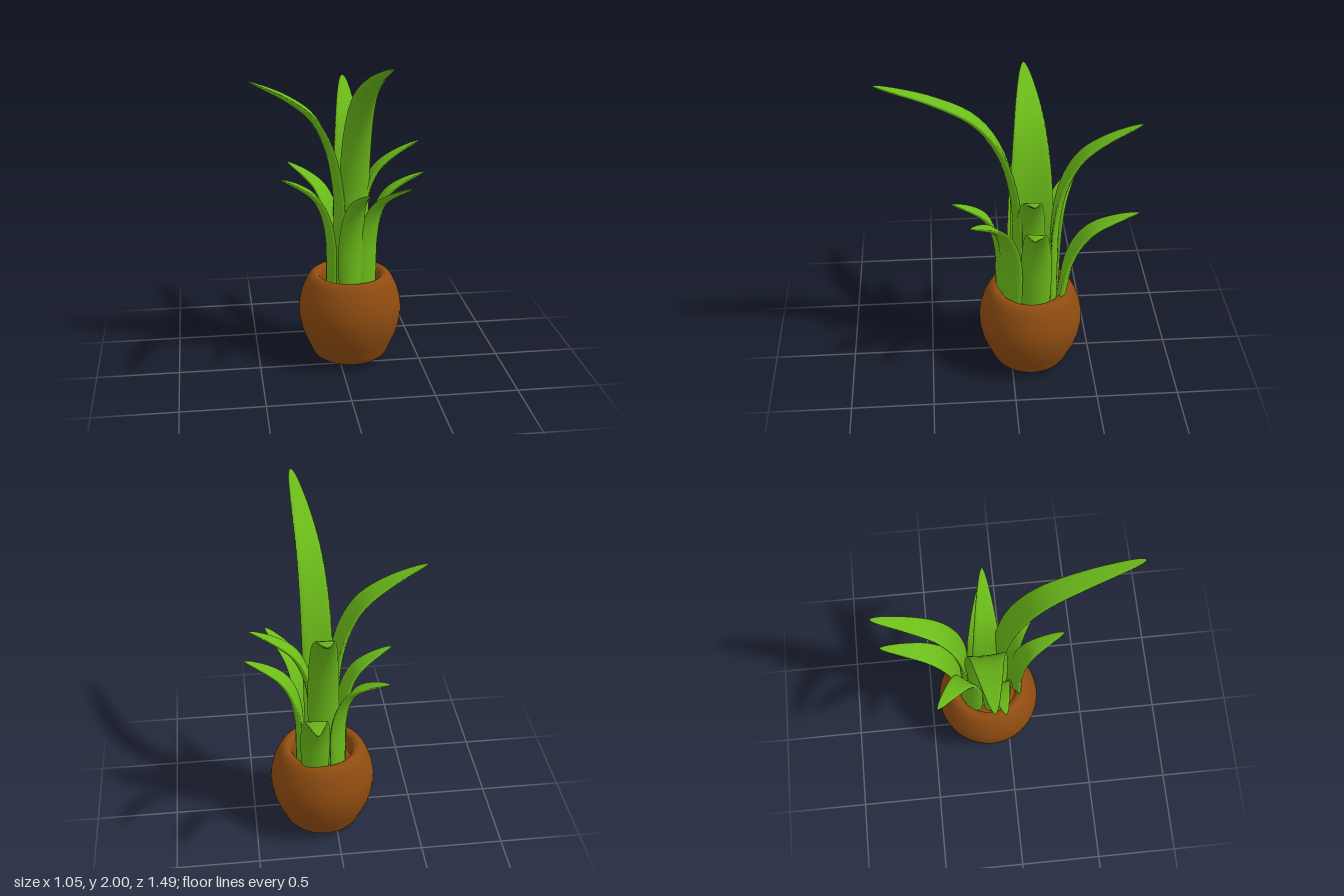
import * as THREE from 'three';

const POT_X = 0.075, POT_Z = -0.12;
const LEAF_BASE_Y = 0.42;
// Arching spine: [share of the horizontal reach, share of the height]
const ARCH = [[0, 0], [0, 0.25], [0.02, 0.5], [0.13, 0.7], [0.31, 0.83], [0.6, 0.92], [1, 1]];

// A fleshy, slightly channelled blade swept along an arching spine
function bladeGeometry({ base, tip, width, thick = 0.045, lean = 0, round = 0.62 }) {
  const rows = 36, sides = 16;
  const dir = new THREE.Vector3(tip[0] - base[0], 0, tip[2] - base[1]);
  const spine = new THREE.CatmullRomCurve3(ARCH.map(([h, v]) => {
    const reach = h + lean * v * (1 - h);
    return new THREE.Vector3(
      base[0] + dir.x * reach,
      LEAF_BASE_Y + (tip[1] - LEAF_BASE_Y) * v,
      base[1] + dir.z * reach);
  }));
  const across = new THREE.Vector3(0, 1, 0).cross(dir).normalize();
  const positions = [], index = [];
  for (let i = 0; i <= rows; i++) {
    const u = Math.sin((i / rows) * Math.PI / 2); // closer rows near the tip
    const p = spine.getPointAt(u);
    const out = across.clone().cross(spine.getTangentAt(u)).normalize();
    const taper = Math.pow(Math.max(0, 1 - u ** 3), round);
    const w = width / 2 * taper * (0.86 + 0.2 * Math.sin(Math.PI * Math.min(1, u * 1.1)));
    const t = thick / 2 * Math.pow(taper, 0.7);
    for (let j = 0; j < sides; j++) {
      const a = j / sides * Math.PI * 2, c = Math.cos(a);
      const q = p.clone()
        .addScaledVector(across, c * w)
        .addScaledVector(out, Math.sin(a) * t - 0.2 * w * c * c);
      positions.push(q.x, q.y, q.z);
    }
  }
  for (let i = 0; i < rows; i++) {
    for (let j = 0; j < sides; j++) {
      const k = (j + 1) % sides;
      const a = i * sides + j, b = i * sides + k;
      const c = a + sides, d = b + sides;
      index.push(a, c, b, b, c, d);
    }
  }
  const geometry = new THREE.BufferGeometry();
  geometry.setAttribute('position', new THREE.Float32BufferAttribute(positions, 3));
  geometry.setIndex(index);
  geometry.computeVertexNormals();
  return geometry;
}

export function createModel() {
  const model = new THREE.Group();
  const clay = new THREE.MeshStandardMaterial({ color: 0x8f4c10 });
  const green = new THREE.MeshStandardMaterial({ color: 0x6cbc1a, side: THREE.DoubleSide });

  // Rounded pot with a rolled rim and a hollow top
  const wall = new THREE.CatmullRomCurve3([
    [0.001, 0.005], [0.1, 0.006], [0.18, 0.013], [0.225, 0.04], [0.265, 0.12], [0.3, 0.21],
    [0.319, 0.33], [0.305, 0.43], [0.27, 0.52], [0.245, 0.555], [0.222, 0.567],
    [0.195, 0.555], [0.182, 0.52], [0.18, 0.45],
  ].map(([r, y]) => new THREE.Vector3(r, y, 0)));
  const profile = wall.getPoints(60).map((p) => new THREE.Vector2(Math.max(p.x, 0), p.y));
  profile[0].set(0, 0);
  profile.push(new THREE.Vector2(0.178, 0.44), new THREE.Vector2(0, 0.44));
  const pot = new THREE.Mesh(new THREE.LatheGeometry(profile, 48), clay);
  pot.name = 'pot';
  pot.position.set(POT_X, 0, POT_Z);
  model.add(pot);

  // Leaves: base [x, z], tip [x, y, z]
  const leaves = {
    tallFrontLeaf: { base: [0.09, -0.03], tip: [0.165, 2.0, 0.745], width: 0.18, round: 0.48 },
    tallLeftLeaf: { base: [-0.01, -0.125], tip: [-0.525, 1.78, -0.115], width: 0.255, lean: -0.04 },
    tallBackLeaf: { base: [0.08, -0.26], tip: [0.11, 1.68, -0.74], width: 0.18, round: 0.52 },
    tallRightLeaf: { base: [0.13, -0.11], tip: [0.49, 1.4, -0.1], width: 0.18 },
    lowRightLeaf: { base: [0.215, -0.14], tip: [0.525, 1.2, -0.1], width: 0.18 },
    lowFrontRightLeaf: { base: [0.17, 0.015], tip: [0.38, 1.2, 0.25], width: 0.18 },
    lowFrontLeaf: { base: [0.06, 0.07], tip: [0.12, 1.2, 0.35], width: 0.16 },
    lowLeftLeaf: { base: [-0.055, -0.07], tip: [-0.35, 1.2, -0.04], width: 0.18 },
    lowBackLeftLeaf: { base: [-0.02, -0.24], tip: [-0.28, 1.2, -0.43], width: 0.17 },
    lowBackLeaf: { base: [0.135, -0.295], tip: [0.16, 1.12, -0.745], width: 0.17, lean: 0.2 },
  };
  for (const [name, shape] of Object.entries(leaves)) {
    const leaf = new THREE.Mesh(bladeGeometry(shape), green);
    leaf.name = name;
    model.add(leaf);
  }
  return model;
}
